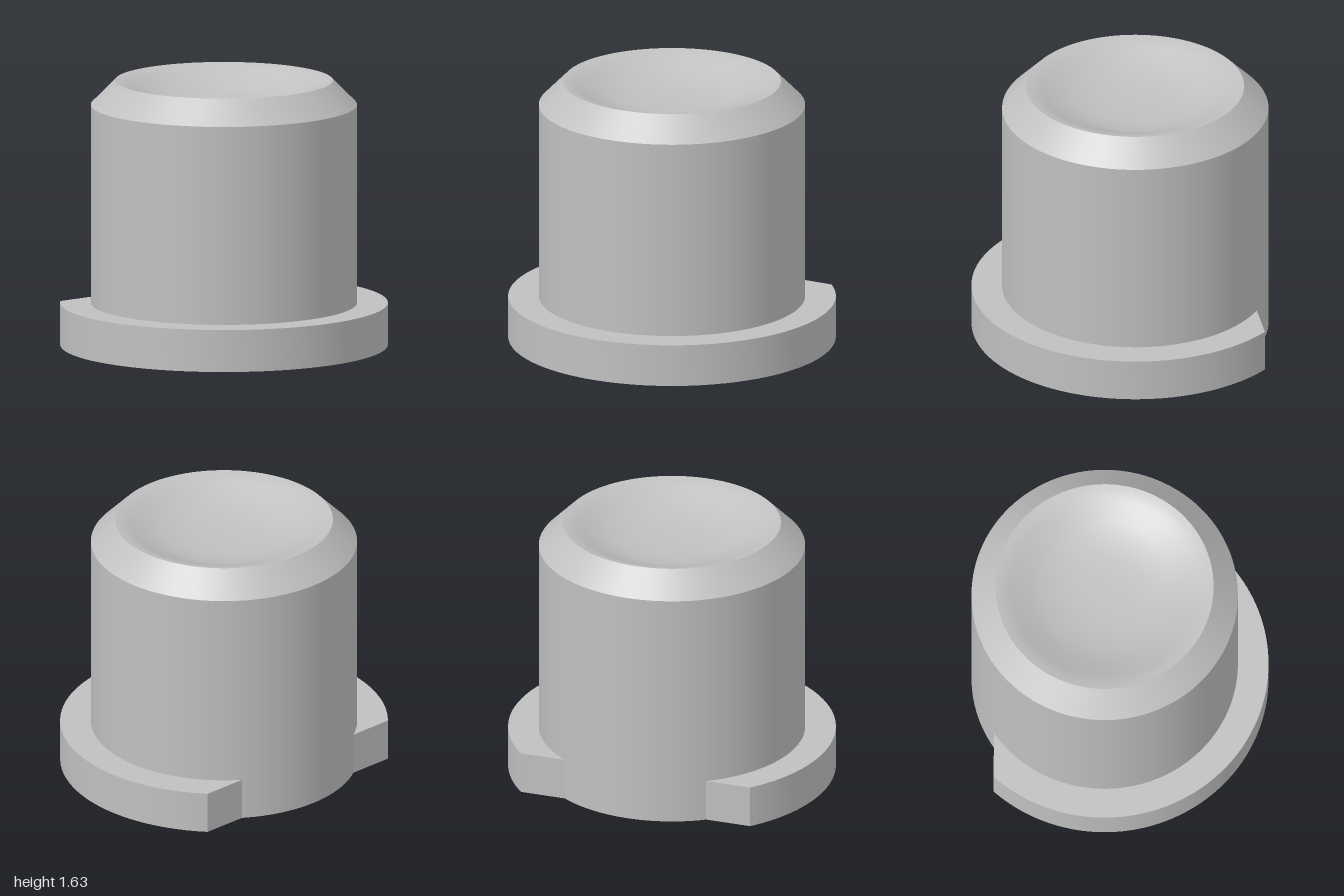
import * as THREE from 'three';
import { toCreasedNormals } from 'three/addons/utils/BufferGeometryUtils.js';

const SEGMENTS = 96;

export function createModel() {
  const grey = new THREE.MeshStandardMaterial({ color: 0xc0c0c0 });
  grey.name = 'plain grey';

  const model = new THREE.Group();
  model.name = 'flangedButton';

  function add(name, geometry) {
    const mesh = new THREE.Mesh(geometry, grey);
    mesh.name = name;
    model.add(mesh);
  }

  // Each band is its own lathe, so the edges between bands stay sharp
  function addLathe(name, profile) {
    const points = profile.map(([r, y]) => new THREE.Vector2(r, y));
    add(name, new THREE.LatheGeometry(points, SEGMENTS));
  }

  const flangeHeight = 0.26, bodyRadius = 0.813, bodyTop = 1.485;
  const rimRadius = 0.665, rimTop = 1.635;

  addLathe('bodyBase', [[0, 0], [bodyRadius, 0]]);
  addLathe('body', [[bodyRadius, 0], [bodyRadius, bodyTop]]);
  addLathe('chamfer', [[bodyRadius, bodyTop], [rimRadius, rimTop]]);

  // Shallow finger dish, easing in from the rim
  const dish = new THREE.SplineCurve([
    [rimRadius, 0], [0.6, 0.018], [0.5, 0.062], [0.4, 0.099],
    [0.28, 0.125], [0.14, 0.137], [0, 0.14],
  ].map(([r, depth]) => new THREE.Vector2(r, rimTop - depth)));
  const dishPoints = dish.getPoints(24).map((p) => [Math.max(p.x, 0), p.y]);
  dishPoints[dishPoints.length - 1][0] = 0;
  addLathe('dish', dishPoints);

  // Round flange cut by a slanted flat at the back; the body bulges past the flat
  const flatDirection = THREE.MathUtils.degToRad(77.5);
  const halfAngle = Math.acos(0.672);
  const outline = new THREE.Shape();
  outline.absarc(0, 0, 1, flatDirection + halfAngle, flatDirection - halfAngle + Math.PI * 2, false);
  outline.closePath();
  const flange = new THREE.ExtrudeGeometry(outline, {
    depth: flangeHeight, bevelEnabled: false, curveSegments: 72,
  });
  flange.rotateX(-Math.PI / 2);
  add('flange', toCreasedNormals(flange, 0.5));

  // The round parts share an axis slightly behind the centre
  model.children.forEach((part) => { part.position.z = -0.095; });
  return model;
}
